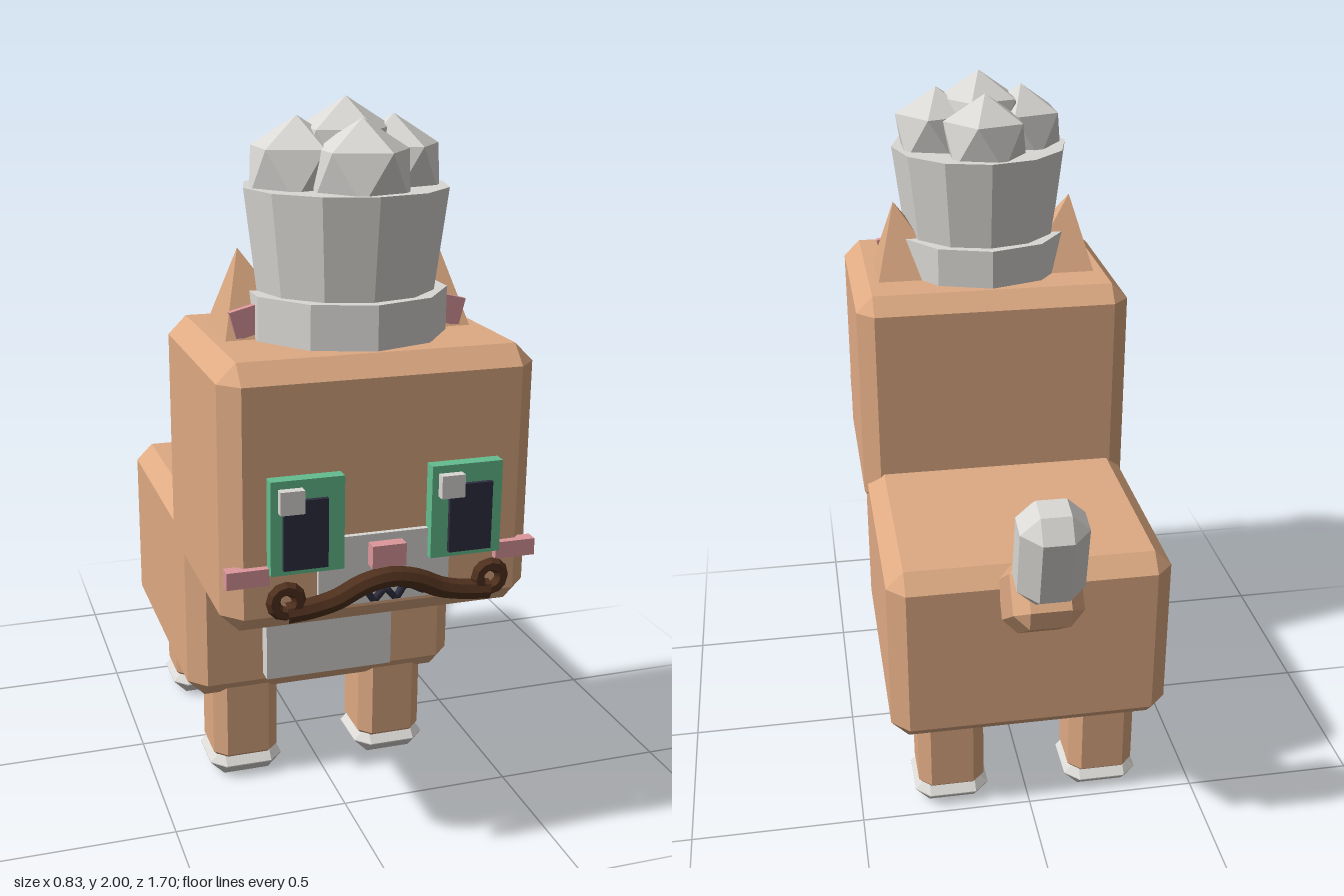
import * as THREE from 'three';
import { ConvexGeometry } from 'three/addons/geometries/ConvexGeometry.js';

const mat = (name, color) => {
  const m = new THREE.MeshStandardMaterial({ color });
  m.name = name;
  return m;
};

// Box with every edge cut by a flat chamfer
function chamferBox(w, h, d, b) {
  const pts = [], [x, y, z] = [w / 2, h / 2, d / 2];
  for (const i of [-1, 1]) for (const j of [-1, 1]) for (const k of [-1, 1]) {
    pts.push(new THREE.Vector3(i * x, j * (y - b), k * (z - b)));
    pts.push(new THREE.Vector3(i * (x - b), j * y, k * (z - b)));
    pts.push(new THREE.Vector3(i * (x - b), j * (y - b), k * z));
  }
  return new ConvexGeometry(pts);
}

// Split shared corners so each face is flat
function faceted(geometry) {
  const g = geometry.toNonIndexed();
  g.computeVertexNormals();
  return g;
}

export function createModel() {
  const model = new THREE.Group();
  const fur = mat('tan fur', 0xdeaa83);
  const white = mat('pale grey', 0xdad8d4);
  const green = mat('green', 0x64be8f);
  const dark = mat('dark navy', 0x2e2e40);
  const pink = mat('pink', 0xdc979b);
  const brown = mat('dark brown', 0x50311e);

  const add = (name, geometry, material, x = 0, y = 0, z = 0) => {
    const mesh = new THREE.Mesh(geometry, material);
    mesh.name = name;
    mesh.position.set(x, y, z);
    model.add(mesh);
    return mesh;
  };
  // Plain box given by its limits
  const block = (name, material, x0, x1, y0, y1, z0, z1) =>
    add(name, new THREE.BoxGeometry(x1 - x0, y1 - y0, z1 - z0), material,
      (x0 + x1) / 2, (y0 + y1) / 2, (z0 + z1) / 2);

  // Body, head and pale patches
  add('body', chamferBox(0.81, 0.55, 0.83, 0.05), fur, 0, 0.555, -0.115);
  add('head', chamferBox(0.83, 0.7, 0.66, 0.05), fur, 0, 1.05, 0.44);
  block('chestPatch', white, -0.19, 0.19, 0.35, 0.73, 0.26, 0.345);
  block('bellyPatch', white, -0.21, 0.21, 0.257, 0.31, -0.34, 0.14);

  // Legs and paws
  for (const x of [-0.228, 0.228]) for (const z of [0.17, -0.37]) {
    add('leg', chamferBox(0.196, 0.32, 0.196, 0.035), fur, x, 0.2, z);
    add('paw', chamferBox(0.218, 0.085, 0.218, 0.041), white, x, 0.0425, z);
  }

  // Tail
  add('tailBase', chamferBox(0.19, 0.19, 0.3, 0.04), fur, 0, 0.81, -0.62).rotation.x = 0.62;
  add('tailTip', chamferBox(0.18, 0.29, 0.17, 0.05), white, 0, 1.015, -0.747).rotation.x = -0.2;

  // Ears: four-sided pyramids with the tip leaning outward
  for (const s of [-1, 1]) {
    const ear = new THREE.ConeGeometry(0.113 * Math.SQRT2, 0.23, 4, 1, false, Math.PI / 4);
    const p = ear.attributes.position;
    for (let i = 0; i < p.count; i++) if (p.getY(i) > 0) p.setX(i, s * 0.05);
    add('ear', faceted(ear), fur, s * 0.225, 1.505, 0.39);
    add('innerEar', new THREE.BoxGeometry(0.1, 0.075, 0.02), pink, s * 0.266, 1.448, 0.486)
      .rotation.z = -s * 0.25;
  }

  // Hat: band, flared cup and a cluster of puffs
  add('hatBand', faceted(new THREE.CylinderGeometry(0.27, 0.27, 0.125, 10)), white, 0, 1.453, 0.44);
  add('hatCup', faceted(new THREE.CylinderGeometry(0.27, 0.235, 0.28, 12)), white, 0, 1.638, 0.44);
  const puff = new THREE.IcosahedronGeometry(0.14, 0);
  puff.rotateZ(-Math.atan(2 / (1 + Math.sqrt(5)))); // one corner points up
  for (const [x, y, z] of [[0, 1.86, 0], [0.13, 1.815, 0], [-0.13, 1.815, 0], [0, 1.815, 0.13], [0, 1.815, -0.13]])
    add('hatPuff', puff, white, x, y, 0.44 + z);

  // Eyes; the highlights sit on the same side of both
  for (const s of [-1, 1]) {
    const c = s * 0.21;
    block('iris', green, c - 0.095, c + 0.095, 0.875, 1.12, 0.76, 0.806);
    const d = s * 0.2175;
    block('pupil', dark, d - 0.0575, d + 0.0575, 0.89, 1.07, 0.8, 0.818);
    const h = s < 0 ? -0.255 : 0.163;
    block('eyeHighlight', white, h - 0.031, h + 0.031, 1.04, 1.1, 0.8, 0.83);
  }

  // Muzzle, nose and cheeks
  block('muzzle', white, -0.175, 0.175, 0.765, 0.95, 0.76, 0.785);
  block('nose', pink, -0.045, 0.045, 0.87, 0.93, 0.78, 0.82);
  for (const s of [-1, 1])
    block('cheek', pink, s * 0.358 - 0.055, s * 0.358 + 0.055, 0.845, 0.89, 0.755, 0.79);

  // Mouth: a small wavy line
  const curve = (pts, z) => new THREE.CatmullRomCurve3(pts.map(([x, y]) => new THREE.Vector3(x, y, z)));
  const mouth = curve([[-0.105, 0.785], [-0.055, 0.805], [-0.03, 0.775], [0, 0.8],
    [0.03, 0.775], [0.055, 0.805], [0.105, 0.785]], 0.79);
  add('mouth', new THREE.TubeGeometry(mouth, 24, 0.01, 6), dark);

  // Moustache with curled ends
  const bar = curve([[-0.27, 0.78], [-0.21, 0.785], [-0.14, 0.8], [-0.07, 0.832], [0, 0.845],
    [0.07, 0.832], [0.14, 0.8], [0.21, 0.785], [0.27, 0.78]], 0.82);
  add('moustache', faceted(new THREE.TubeGeometry(bar, 24, 0.028, 8)), brown);
  for (const s of [-1, 1])
    add('moustacheCurl', faceted(new THREE.TorusGeometry(0.033, 0.019, 6, 12)), brown, s * 0.272, 0.815, 0.825);

  return model;
}
